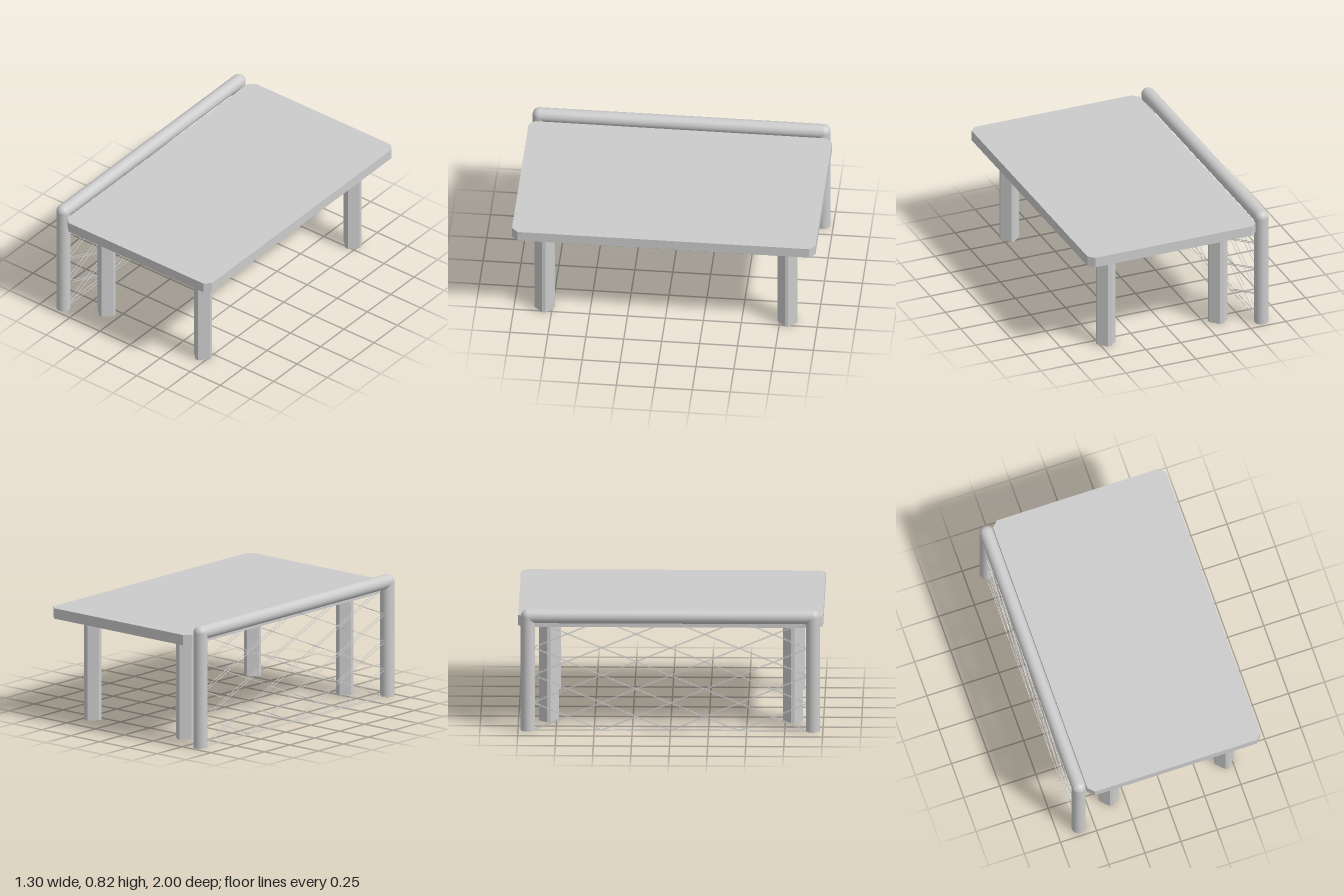
import * as THREE from 'three';

const material = new THREE.MeshStandardMaterial({ color: 0xcccccc, side: THREE.DoubleSide });

// Upright prism from an outline in the ground plane
function prism(points, height) {
  const shape = new THREE.Shape(points.map(([x, z]) => new THREE.Vector2(x, -z)));
  const geometry = new THREE.ExtrudeGeometry(shape, { depth: height, bevelEnabled: false });
  return geometry.rotateX(-Math.PI / 2);
}

// Rectangle with its four corners cut by c
function cutRectangle(a, b, c) {
  return [
    [a, b - c], [a - c, b], [c - a, b], [-a, b - c],
    [-a, c - b], [c - a, -b], [a - c, -b], [a, c - b],
  ];
}

export function createModel() {
  const model = new THREE.Group();
  const add = (parent, name, geometry, x, y, z) => {
    const mesh = new THREE.Mesh(geometry, material);
    mesh.name = name;
    mesh.position.set(x, y, z);
    parent.add(mesh);
    return mesh;
  };

  // Table top with clipped corners
  add(model, 'tableTop', prism(cutRectangle(0.6, 1, 0.04), 0.07), 0.05, 0.685, 0);

  // Legs: square posts turned 45 degrees with narrow chamfers
  const legOutline = [
    [0.066, 0.011], [0.011, 0.066], [-0.011, 0.066], [-0.066, 0.011],
    [-0.066, -0.011], [-0.011, -0.066], [0.011, -0.066], [0.066, -0.011],
  ];
  const legGeometry = prism(legOutline, 0.69);
  for (const x of [-0.35, 0.45]) {
    for (const z of [-0.8, 0.8]) add(model, 'leg', legGeometry, x, 0, z);
  }

  // Round side frame: two posts, ball corners and a top rail
  const frameX = -0.603, radius = 0.047, railY = 0.773, postZ = 0.935;
  const frame = new THREE.Group();
  frame.name = 'sideFrame';
  model.add(frame);
  for (const z of [-postZ, postZ]) {
    add(frame, 'post', new THREE.CylinderGeometry(radius, radius, railY, 32), frameX, railY / 2, z);
    add(frame, 'corner', new THREE.SphereGeometry(radius, 32, 20), frameX, railY, z);
  }
  const railGeometry = new THREE.CylinderGeometry(radius, radius, 2 * postZ, 32, 1, true);
  add(frame, 'rail', railGeometry.rotateX(Math.PI / 2), frameX, railY, 0);

  // Net: two close layers of fine diagonal threads, clipped to the frame opening
  const net = new THREE.Group();
  net.name = 'net';
  model.add(net);
  const thick = 0.003, pitch = 0.1865, slope = 0.414, endZ = 0.9, topY = 0.74;
  const thread = (z0, y0, z1, y1) => {
    const length = Math.hypot(z1 - z0, y1 - y0);
    for (const side of [-1, 1]) {
      const mesh = add(net, 'thread', new THREE.BoxGeometry(thick, thick, length),
        frameX + side * 0.012, (y0 + y1) / 2, (z0 + z1) / 2);
      mesh.rotation.x = -Math.atan2(y1 - y0, z1 - z0);
    }
  };
  for (let k = -1; k <= 5; k++) {
    const start = Math.max(-endZ, -k * pitch / slope);
    const end = Math.min(endZ, (topY - k * pitch) / slope);
    if (end - start < 0.02) continue;
    for (const s of [-1, 1]) {
      thread(s * start, slope * start + k * pitch, s * end, slope * end + k * pitch);
    }
  }
  thread(-endZ, thick / 2, endZ, thick / 2);

  return model;
}
